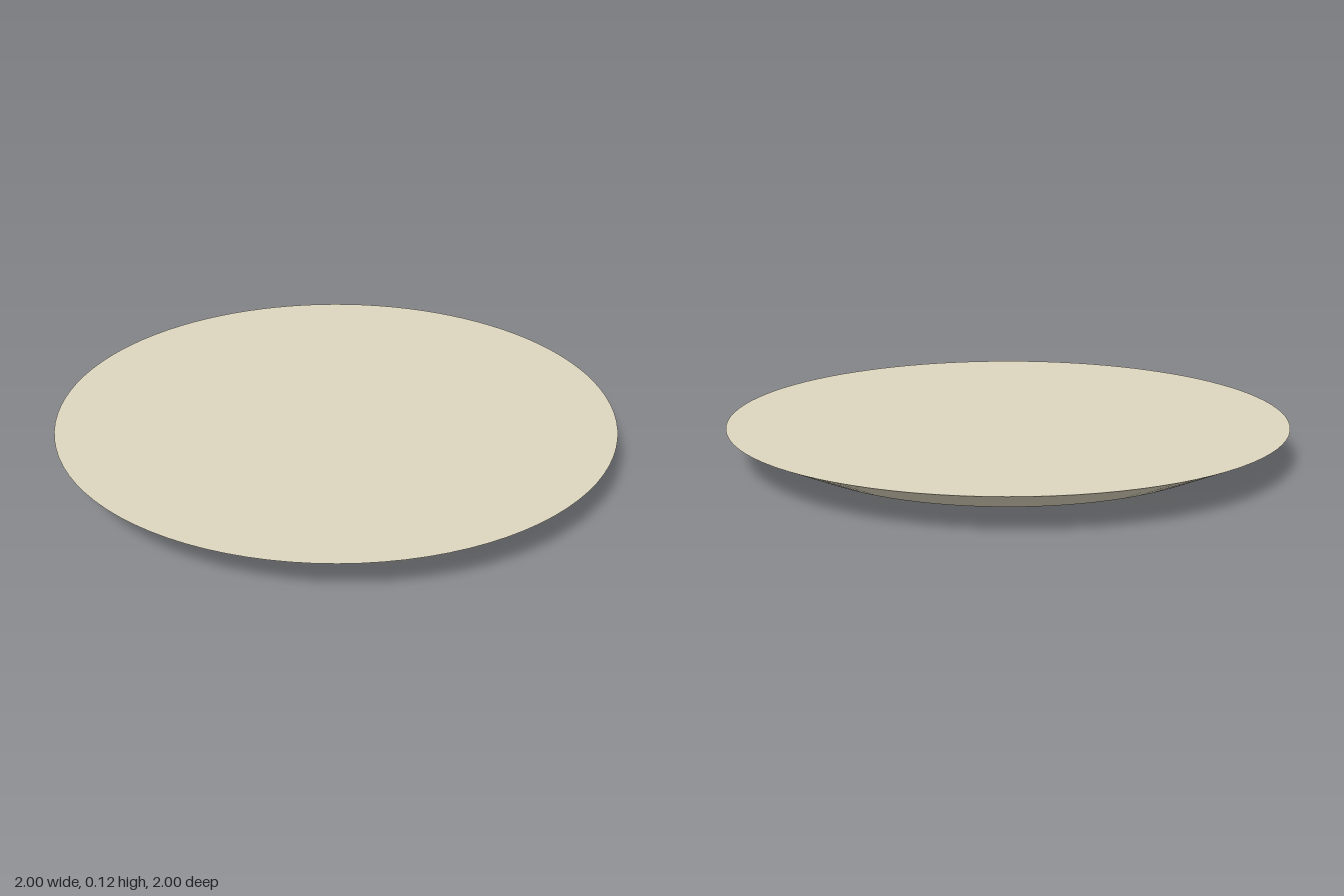
import * as THREE from 'three';

const SEGMENTS = 96;

export function createModel() {
  const group = new THREE.Group();
  group.name = 'roundCeilingDiffuser';
  const material = new THREE.MeshStandardMaterial({ color: 0xddd5bf });

  // One lathed band between two [radius, height] points; separate bands keep the edges crisp
  const band = (name, from, to) => {
    const points = [new THREE.Vector2(...from), new THREE.Vector2(...to)];
    const mesh = new THREE.Mesh(new THREE.LatheGeometry(points, SEGMENTS), material);
    mesh.name = name;
    group.add(mesh);
  };

  const rimTop = 0.125;
  const recess = 0.078; // height at which every ring meets the step outside it

  // Lower lip of each concentric ring, from the centre outwards
  const lips = [[0.2, 0.047], [0.4, 0.025], [0.6, 0], [0.8, 0.029]];

  band('centreDisc', [0, recess], [lips[0][0], recess]);
  lips.forEach(([radius, height], i) => {
    const next = lips[i + 1];
    band('ringInnerWall', [radius, recess], [radius, height]);
    // Sloping vane up to the next ring, or up to the outer rim
    if (next) band('ringVane', [radius, height], [next[0], recess]);
    else band('outerFlange', [radius, height], [1, rimTop]);
  });

  // Flat back plate
  band('topPlate', [1, rimTop], [0, rimTop]);

  return group;
}
